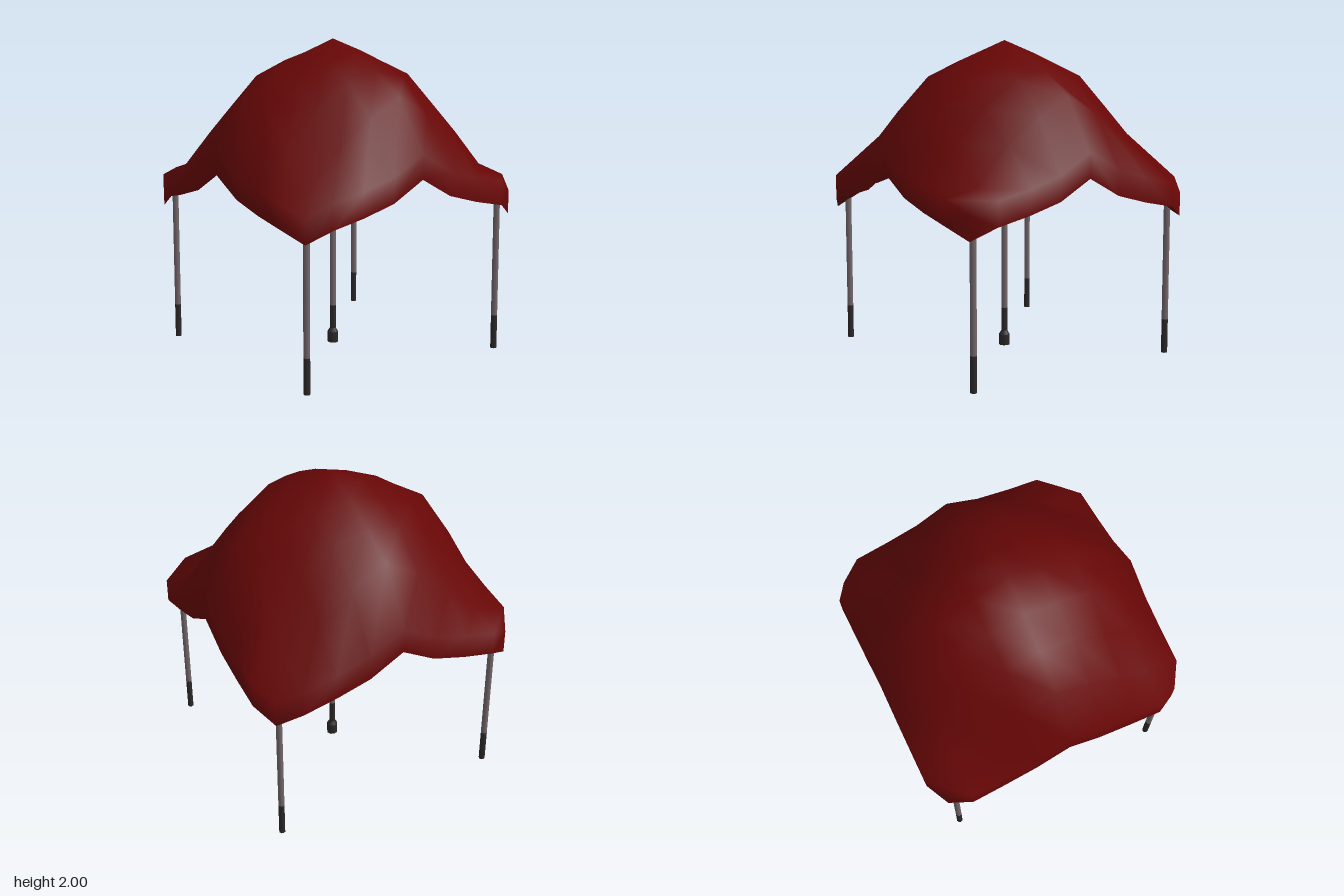
import * as THREE from 'three';
import { mergeVertices } from 'three/addons/utils/BufferGeometryUtils.js';

const STEP = 0.22, THICKNESS = 0.15;
// Canopy height by distance from the centre lines; the sheet is symmetric in x and z
const HEIGHT = [
  [2.0, 1.92, 1.81, 1.68, 1.35],
  [1.92, 1.86, 1.77, 1.56, 1.23],
  [1.81, 1.77, 1.61, 1.4, 1.17],
  [1.68, 1.56, 1.4, 1.17, 1.125],
  [1.35, 1.23, 1.17, 1.125, 1.045],
];

// Point of the cloth at grid steps a, b from the centre
function clothPoint(a, b, drop) {
  const m = Math.abs(a), n = Math.abs(b);
  const size = m === 4 && n === 4 ? 0.2 : STEP; // corners are pulled inwards
  return [a * size, HEIGHT[m][n] - drop, b * size];
}

// Smooth sheet of n x n cells; point(i, j) places each grid point
function sheet(n, point, faceDown, skip = () => false) {
  const pos = [], index = [];
  for (let j = 0; j <= n; j++) for (let i = 0; i <= n; i++) pos.push(...point(i, j));
  for (let j = 0; j < n; j++) {
    for (let i = 0; i < n; i++) {
      if (skip(i, j)) continue;
      const a = j * (n + 1) + i, b = a + 1, d = a + n + 1, c = d + 1;
      if (faceDown) index.push(a, b, d, b, c, d);
      else index.push(a, d, b, b, d, c);
    }
  }
  const geo = new THREE.BufferGeometry();
  geo.setAttribute('position', new THREE.Float32BufferAttribute(pos, 3));
  geo.setIndex(index);
  const merged = mergeVertices(geo);
  merged.computeVertexNormals();
  return merged;
}

// Upper cloth: the outermost ring of the grid hangs straight down as the rim
function canopyTop() {
  const place = (k) => THREE.MathUtils.clamp(k - 5, -4, 4);
  const outer = (k) => k === 0 || k === 10;
  const point = (i, j) => clothPoint(place(i), place(j), outer(i) || outer(j) ? THICKNESS : 0);
  return sheet(10, point, false, (i, j) => i % 9 === 0 && j % 9 === 0);
}

// Lining: the same form, lower by the thickness and facing down
function canopyLining() {
  return sheet(8, (i, j) => clothPoint(i - 4, j - 4, THICKNESS), true);
}

export function createModel() {
  const model = new THREE.Group();
  const red = new THREE.MeshStandardMaterial({ name: 'red cloth', color: 0x670606, side: THREE.DoubleSide });
  const metal = new THREE.MeshStandardMaterial({ name: 'grey pole', color: 0x74686b });
  const dark = new THREE.MeshStandardMaterial({ name: 'dark pole end', color: 0x2c2828 });

  const add = (parent, name, geo, mat, y = 0) => {
    const mesh = new THREE.Mesh(geo, mat);
    mesh.name = name;
    mesh.position.y = y;
    parent.add(mesh);
  };
  // Upright rod between two heights
  const rod = (parent, name, r, y0, y1, mat) =>
    add(parent, name, new THREE.CylinderGeometry(r, r, y1 - y0, 8), mat, (y0 + y1) / 2);

  add(model, 'canopy', canopyTop(), red);
  add(model, 'canopyLining', canopyLining(), red);

  // Corner poles
  for (const x of [-0.752, 0.752]) {
    for (const z of [-0.735, 0.745]) {
      const pole = new THREE.Group();
      pole.name = 'cornerPole';
      pole.position.set(x, 0, z);
      rod(pole, 'poleBase', 0.02, 0, 0.22, dark);
      rod(pole, 'poleShaft', 0.02, 0.22, 0.98, metal);
      model.add(pole);
    }
  }

  // Centre pole with a wide foot
  const centre = new THREE.Group();
  centre.name = 'centrePole';
  rod(centre, 'poleBase', 0.02, 0.07, 0.25, dark);
  rod(centre, 'poleShaft', 0.02, 0.25, 1.12, metal);
  rod(centre, 'poleTop', 0.02, 1.12, 1.9, dark);
  rod(centre, 'foot', 0.036, 0, 0.07, dark);
  add(centre, 'footCollar', new THREE.CylinderGeometry(0.02, 0.036, 0.025, 8), dark, 0.0825);
  model.add(centre);

  return model;
}
